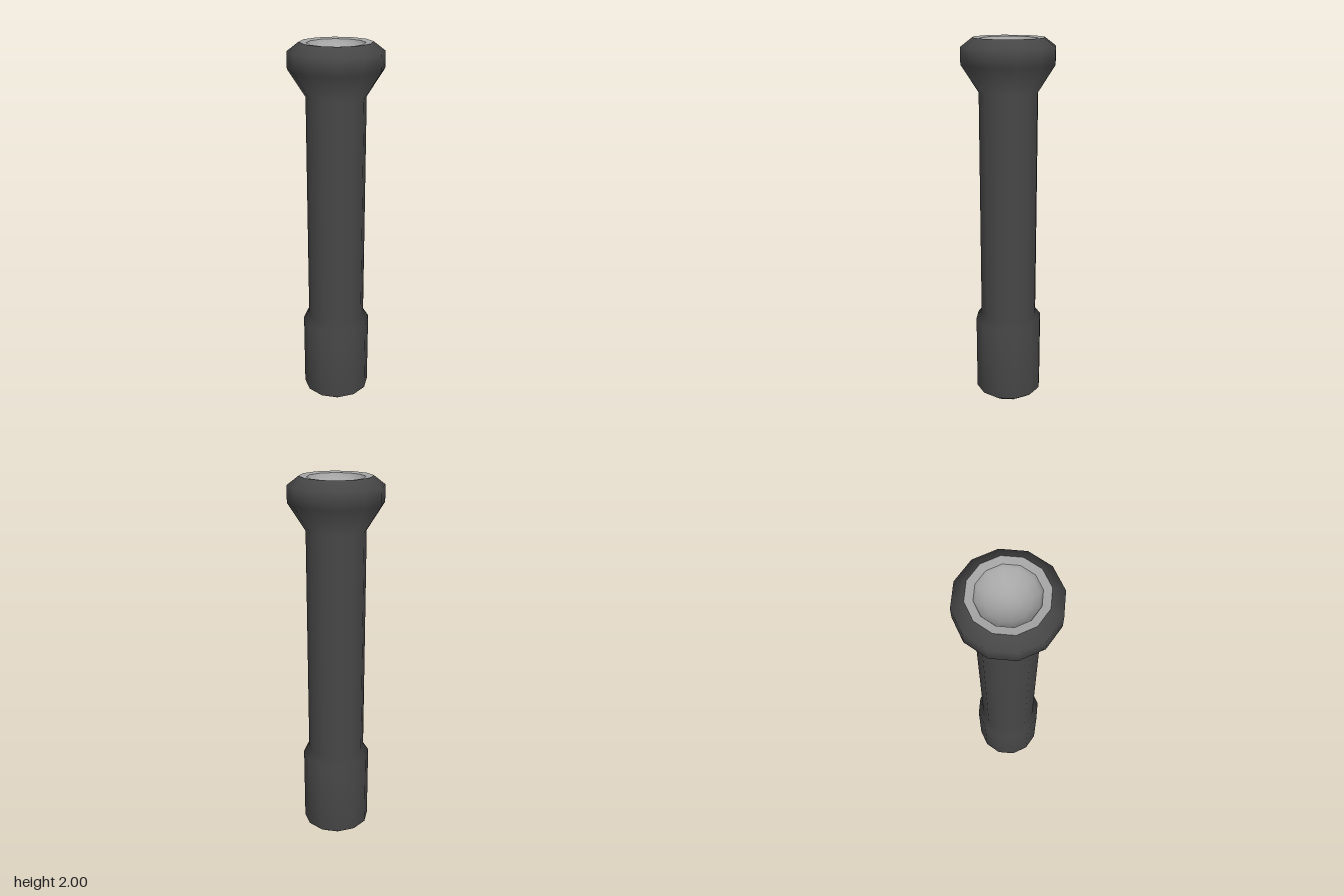
import * as THREE from 'three';
import { mergeVertices } from 'three/addons/utils/BufferGeometryUtils.js';

const SIDES = 12;
const TUBE_BOTTOM = 0.5;
const TUBE_TOP = 1.73;

const casing = new THREE.MeshStandardMaterial({ color: 0x474747 });
casing.name = 'darkCasing';
const silver = new THREE.MeshStandardMaterial({ color: 0xa6a6a6 });
silver.name = 'silverReflector';

// Turn a [radius, y] profile with area-weighted smooth normals.
function turned(name, profile, material) {
  const lathe = new THREE.LatheGeometry(profile.map(([r, y]) => new THREE.Vector2(r, y)), SIDES);
  lathe.deleteAttribute('normal');
  lathe.deleteAttribute('uv');
  const geometry = mergeVertices(lathe, 1e-4);
  geometry.computeVertexNormals();

  // Where a part meets the tube, use the tube's radial normals so the joint looks seamless.
  const { position, normal } = geometry.attributes;
  const n = new THREE.Vector3();
  for (let i = 0; i < position.count; i++) {
    const y = position.getY(i);
    if (Math.abs(y - TUBE_BOTTOM) < 1e-3 || Math.abs(y - TUBE_TOP) < 1e-3) {
      n.set(position.getX(i), 0, position.getZ(i)).normalize();
      normal.setXYZ(i, n.x, n.y, n.z);
    }
  }
  const mesh = new THREE.Mesh(geometry, material);
  mesh.name = name;
  return mesh;
}

export function createModel() {
  const model = new THREE.Group();
  model.name = 'flashlight';
  model.add(
    // Thicker battery cap with bevelled base and shoulder
    turned('tailCap', [[0, 0], [0.145, 0], [0.185, 0.03], [0.185, 0.46], [0.155, TUBE_BOTTOM]], casing),
    // Long plain handle
    turned('handleTube', [[0.155, TUBE_BOTTOM], [0.155, TUBE_TOP]], casing),
    // Flared head with bevelled rim
    turned('head', [[0.155, TUBE_TOP], [0.245, 1.87], [0.245, 1.955], [0.185, 2]], casing),
    // Flat ring around the opening
    turned('reflectorRing', [[0.185, 2], [0.147, 1.995]], silver),
    // Short step down into a concave dish
    turned('reflectorDish', [[0.147, 1.995], [0.136, 1.97], [0.1, 1.94], [0.055, 1.917], [0, 1.908]], silver),
  );
  return model;
}
